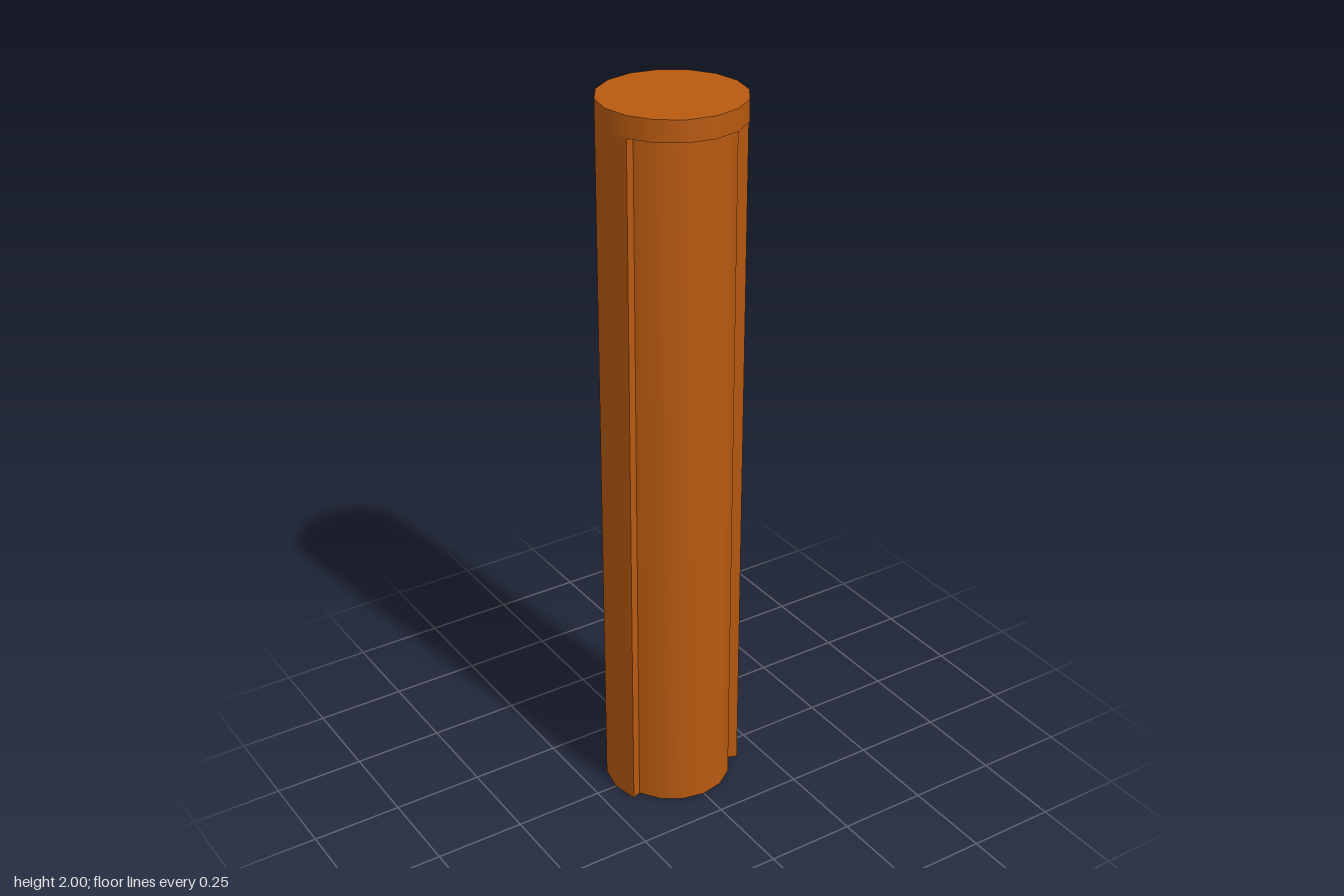
import * as THREE from 'three';
import { toCreasedNormals } from 'three/addons/utils/BufferGeometryUtils.js';

const SIDES = 16, BODY_R = 0.163, RIM_R = 0.19, HEIGHT = 2, CAP_H = 0.057;

export function createModel() {
  const model = new THREE.Group();
  const material = new THREE.MeshStandardMaterial({ color: 0xb85a10 });
  const add = (name, geometry, y) => {
    const mesh = new THREE.Mesh(geometry, material);
    mesh.name = name;
    mesh.position.y = y;
    model.add(mesh);
  };

  // Shaft section: a 16-sided round with a raised rail, two facets wide, on each side
  const points = [];
  const point = (i, r) => {
    const a = (i / SIDES) * Math.PI * 2;
    points.push(new THREE.Vector2(r * Math.cos(a), r * Math.sin(a)));
  };
  for (const start of [-1, SIDES / 2 - 1]) {
    point(start, BODY_R);
    for (let i = 0; i <= 2; i++) point(start + i, RIM_R);
    for (let i = 2; i < SIDES / 2; i++) point(start + i, BODY_R);
  }
  const shaft = new THREE.ExtrudeGeometry(new THREE.Shape(points), {
    depth: HEIGHT - CAP_H, bevelEnabled: false,
  });
  shaft.rotateX(-Math.PI / 2);
  add('shaftWithSideRails', toCreasedNormals(shaft, Math.PI / 5), 0);

  // Cap, flush with the rails and overhanging the front and back
  add('cap', new THREE.CylinderGeometry(RIM_R, RIM_R, CAP_H, SIDES), HEIGHT - CAP_H / 2);

  return model;
}
